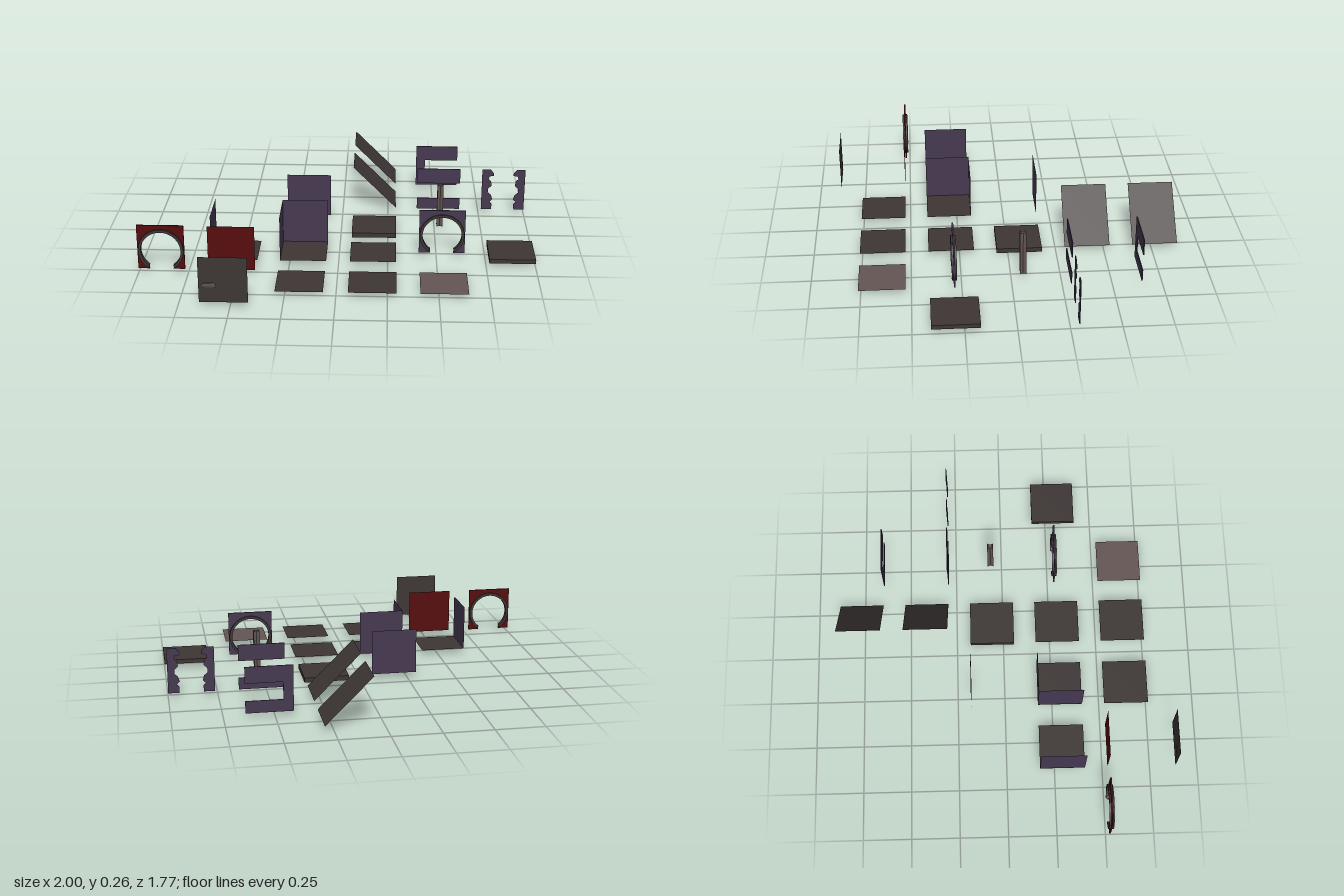
import * as THREE from 'three';

const T = 0.235;          // tile size
const Y = 0.025;          // floor level
const MID = Y + T / 2;    // centre height of the walls

function material(name, color) {
  const m = new THREE.MeshStandardMaterial({ color, side: THREE.DoubleSide });
  m.name = name;
  return m;
}

export function createModel() {
  const stone = material('dark stone', 0x3d3635);
  const paleStone = material('pale stone', 0x635554);
  const purple = material('purple plaster', 0x463851);
  const red = material('red plaster', 0x560b0b);
  const grey = material('grey detail', 0x575250);

  const kit = new THREE.Group();
  kit.name = 'dungeonKit';

  function add(name, geometry, mat, x, y, z) {
    const mesh = new THREE.Mesh(geometry, mat);
    mesh.name = name;
    mesh.position.set(x, y, z);
    kit.add(mesh);
    return mesh;
  }
  const box = (name, mat, w, h, d, x, y, z) =>
    add(name, new THREE.BoxGeometry(w, h, d), mat, x, y, z);

  function floor(x, z, mat = stone) {
    add('floor', new THREE.PlaneGeometry(T, T).rotateX(-Math.PI / 2), mat, x, Y, z);
  }
  const wall = (name, mat, x, z) =>
    add(name, new THREE.PlaneGeometry(T, T), mat, x, MID, z);
  function sideWall(x, z) {
    wall('sideWall', purple, x, z).rotation.y = Math.PI / 2;
  }
  function extrude(name, shape, depth, mat, x, y, z) {
    const g = new THREE.ExtrudeGeometry(shape, { depth, bevelEnabled: false, curveSegments: 28 });
    return add(name, g.translate(0, 0, -depth / 2), mat, x, y, z);
  }

  // Flat floors
  floor(0.176, 0.645);
  floor(0.176, 0.292);
  floor(-0.18, 0.645);
  floor(-0.18, 0.292);
  floor(-0.53, 0.292);
  floor(0.527, 0.645, paleStone);

  // Sunken and raised slabs
  box('sunkenSlab', stone, T, 0.025, T, 0.176, 0.0125, -0.06);
  box('raisedSlab', stone, T, 0.022, T, 0.882, Y + 0.011, 0.292);

  // Ramps falling towards +x
  for (const z of [-0.413, -0.767]) {
    const g = new THREE.PlaneGeometry(T * Math.SQRT2, T).rotateX(-Math.PI / 2).rotateZ(-Math.PI / 4);
    add('ramp', g, stone, 0.176, MID, z);
  }

  // Free walls
  wall('plainWall', purple, -0.18, -0.178);
  wall('redWall', red, -0.53, 0.527);
  wall('stoneWall', stone, -0.53, 0.884);
  const spot = new THREE.CapsuleGeometry(0.012, 0.044, 4, 10).rotateZ(Math.PI / 2).scale(1, 1, 0.2);
  add('wallSpot', spot, grey, -0.597, 0.113, 0.884);

  // Floor with one wall, and floor with a corner of two walls
  sideWall(-0.647, 0.292);
  sideWall(-0.297, 0.292);
  wall('cornerBackWall', purple, -0.18, 0.175);

  // Horseshoe arches: thin plastered panel and a thick stone ring
  const A0 = -0.93, A1 = Math.PI + 0.93, R = 0.1, h = T / 2;
  function arch(mat, x, z) {
    const foot = R * Math.cos(A0);
    const panel = new THREE.Shape();
    panel.moveTo(foot, -R);
    panel.lineTo(h, -R);
    panel.lineTo(h, T - R);
    panel.lineTo(-h, T - R);
    panel.lineTo(-h, -R);
    panel.lineTo(-foot, -R);
    panel.absarc(0, 0, R + 0.002, A1, A0, true);
    extrude('archPanel', panel, 0.008, mat, x, Y + R, z);
    const ring = new THREE.Shape();
    ring.absarc(0, 0, 0.114, A0, A1, false);
    ring.absarc(0, 0, R, A1, A0, true);
    extrude('archRing', ring, 0.026, stone, x, Y + R, z);
  }
  arch(red, -0.882, 0.522);
  arch(purple, 0.527, 0.286);

  // Window walls: upper and lower bands, one set with a post
  for (const z of [-0.293, -0.646]) {
    box('upperBand', purple, T, 0.084, 0.005, 0.527, 0.218, z);
    box('lowerBand', purple, T, 0.062, 0.005, 0.527, 0.056, z);
  }
  box('windowPost', purple, 0.05, 0.089, 0.005, 0.4345, 0.1315, -0.646);

  // Broken wall: two jagged pieces facing each other
  const jag = [[0.055, 0], [0.058, 0.03], [0.045, 0.045], [0.06, 0.06], [0.052, 0.085],
    [0.034, 0.1], [0.036, 0.125], [0.054, 0.14], [0.05, 0.165], [0.036, 0.18],
    [0.04, 0.195], [0.065, 0.2], [0.062, 0.215], [0.045, T]];
  for (const s of [1, -1]) {
    const shape = new THREE.Shape();
    shape.moveTo(-s * h, 0);
    jag.forEach(([u, v]) => shape.lineTo(s * (u - h), v));
    shape.lineTo(-s * h, T);
    extrude('brokenWallPiece', shape, 0.004, purple, 0.882, Y, -0.293);
  }

  // Pillar with four pointed corners
  const star = new THREE.Shape();
  for (let i = 0; i < 8; i++) {
    const a = i * Math.PI / 4, r = i % 2 ? 0.0225 : 0.009;
    star[i ? 'lineTo' : 'moveTo'](r * Math.cos(a), r * Math.sin(a));
  }
  extrude('pillar', star, T, paleStone, 0.527, MID, -0.06).rotation.x = Math.PI / 2;

  return kit;
}
